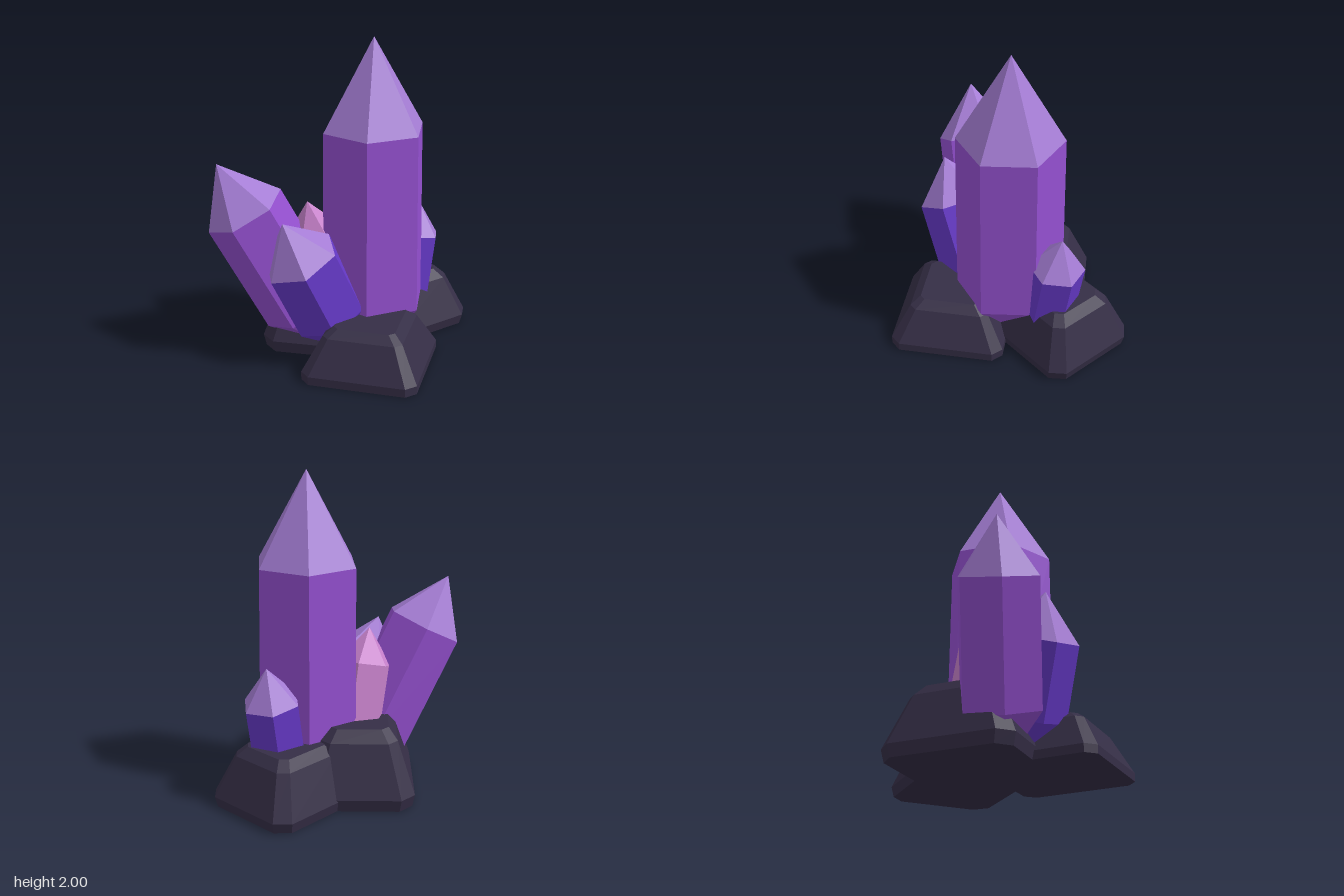
import * as THREE from 'three';

const mat = (name, color) => {
  const m = new THREE.MeshStandardMaterial({ color });
  m.name = name;
  return m;
};

// unshared corners give every facet its own flat normal
function facet(geometry) {
  const g = geometry.index ? geometry.toNonIndexed() : geometry;
  g.computeVertexNormals();
  return g;
}

// rock: a chamfered rectangle lofted through shrinking levels
function rockGeometry(w, d, c, levels) {
  const outline = [[w - c, d], [w, d - c], [w, c - d], [w - c, -d], [c - w, -d], [-w, c - d], [-w, d - c], [c - w, d]];
  const n = outline.length, pos = [], idx = [];
  for (const [y, s] of levels) for (const [x, z] of outline) pos.push(x * s, y, z * s);
  for (let l = 0; l < levels.length - 1; l++) {
    for (let k = 0; k < n; k++) {
      const a = l * n + k, b = l * n + (k + 1) % n;
      idx.push(a, b, b + n, a, b + n, a + n);
    }
  }
  const top = (levels.length - 1) * n;
  for (let k = 1; k < n - 1; k++) idx.push(top, top + k, top + k + 1, 0, k + 1, k);
  const g = new THREE.BufferGeometry();
  g.setAttribute('position', new THREE.Float32BufferAttribute(pos, 3));
  g.setIndex(idx);
  return facet(g);
}

// crystal: six-sided shaft with a pointed tip and a narrowing root;
// its origin is the middle of the rim where the shaft meets the tip
function crystal({ name, rim, apex, radius, length, turn, flare = 1, shaft, tip }) {
  const group = new THREE.Group();
  group.name = name;
  const base = new THREE.Vector3(...rim);
  const axis = new THREE.Vector3(...apex).sub(base);
  const tipLength = axis.length();
  const low = radius * flare, rootLength = low * 0.75;
  const add = (part, rTop, rBottom, h, y, material) => {
    const g = new THREE.CylinderGeometry(rTop, rBottom, h, 6, 1, false, turn);
    const mesh = new THREE.Mesh(facet(g), material);
    mesh.name = part;
    mesh.position.y = y;
    group.add(mesh);
  };
  add('tip', 0, radius, tipLength, tipLength / 2, tip);
  add('shaft', radius, low, length, -length / 2, shaft);
  add('root', low, low * 0.45, rootLength, -length - rootLength / 2, shaft);
  group.position.copy(base);
  group.quaternion.setFromUnitVectors(new THREE.Vector3(0, 1, 0), axis.normalize());
  return group;
}

export function createModel() {
  const model = new THREE.Group();
  model.name = 'crystalCluster';
  const violet = mat('violet', 0x9450d0);
  const indigo = mat('indigo', 0x6639c8);
  const lilac = mat('lilac', 0xa47cd4);
  const pink = mat('pink', 0xc882cc);
  const stone = mat('darkStone', 0x352e46);

  // rocks
  const rocks = [
    { name: 'frontRock', at: [-0.15, 0.28], w: 0.365, d: 0.36, c: 0.06, h: 0.31, turn: 0.61, foot: 1 },
    { name: 'leftRock', at: [0.43, -0.09], w: 0.36, d: 0.335, c: 0.08, h: 0.38, turn: -0.09, foot: 0.96 },
    { name: 'backRock', at: [-0.05, -0.28], w: 0.415, d: 0.34, c: 0.085, h: 0.46, turn: 0.66, foot: 0.96 },
  ];
  for (const r of rocks) {
    const levels = [[0, r.foot], [r.h * 0.17, 1], [r.h * 0.85, 0.69], [r.h, 0.53]];
    const mesh = new THREE.Mesh(rockGeometry(r.w, r.d, r.c, levels), stone);
    mesh.name = r.name;
    mesh.position.set(r.at[0], 0, r.at[1]);
    mesh.rotation.y = r.turn;
    model.add(mesh);
  }

  // crystals
  model.add(
    crystal({ name: 'mainCrystal', rim: [0.097, 1.43, 0.02], apex: [0.097, 2, 0.02], radius: 0.333,
      length: 1.14, turn: 0.21, flare: 1.035, shaft: violet, tip: lilac }),
    crystal({ name: 'backRightCrystal', rim: [-0.607, 0.945, -0.38], apex: [-0.745, 1.255, -0.465], radius: 0.258,
      length: 0.75, turn: 0.1, shaft: violet, tip: lilac }),
    crystal({ name: 'frontRightCrystal', rim: [-0.45, 0.695, -0.03], apex: [-0.57, 0.945, -0.045], radius: 0.243,
      length: 0.46, turn: 1.53, shaft: indigo, tip: lilac }),
    crystal({ name: 'leftCrystal', rim: [0.47, 0.64, -0.01], apex: [0.51, 0.867, -0.01], radius: 0.181,
      length: 0.37, turn: 1.29, shaft: indigo, tip: lilac }),
    crystal({ name: 'smallPinkCrystal', rim: [-0.2, 0.76, -0.21], apex: [-0.262, 0.975, -0.197], radius: 0.177,
      length: 0.4, turn: -0.12, shaft: pink, tip: pink }),
  );
  return model;
}
